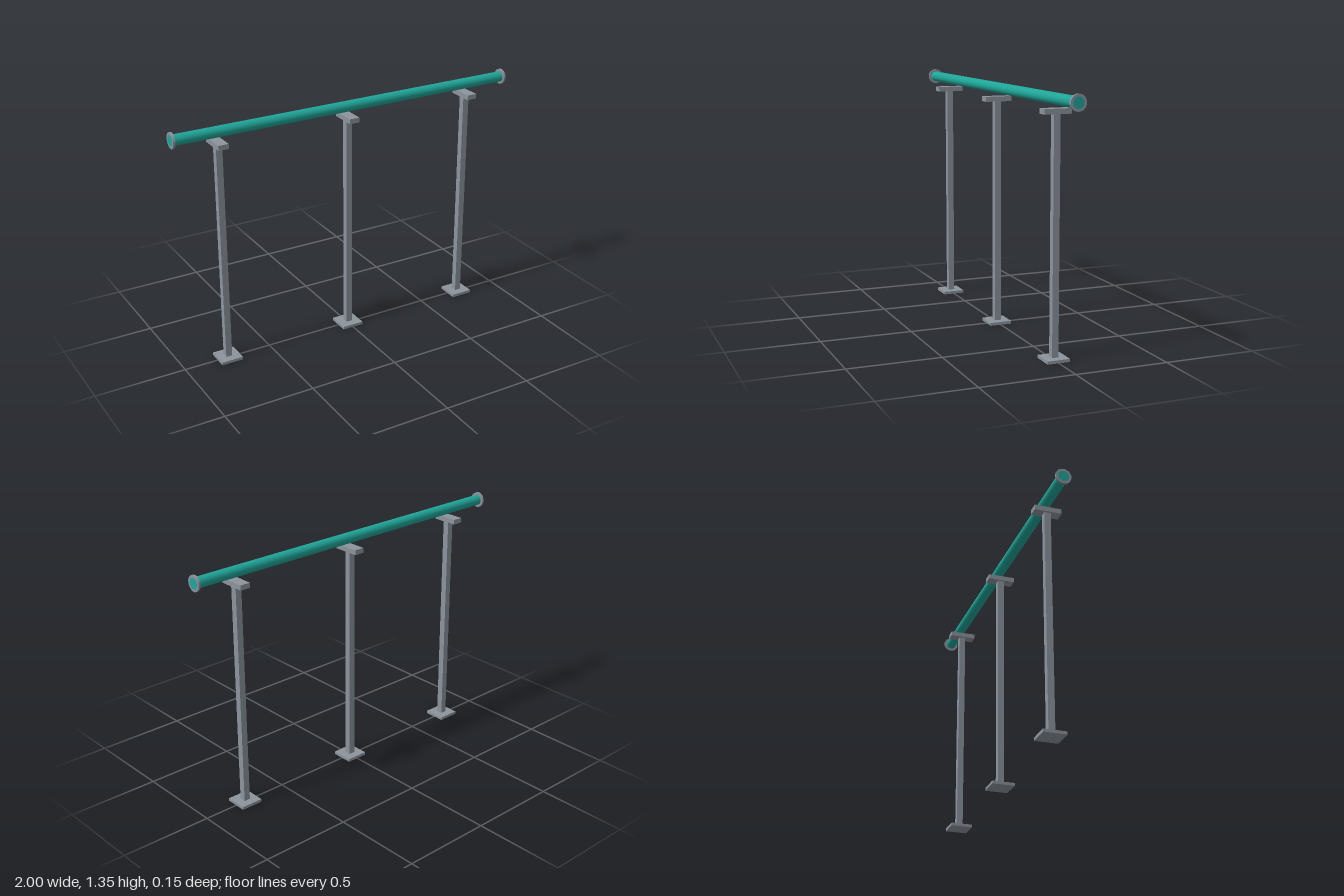
import * as THREE from 'three';

export function createModel() {
  const model = new THREE.Group();
  model.name = 'pipeOnSupports';

  const steel = new THREE.MeshStandardMaterial({ color: 0x8c949d });
  steel.name = 'steel grey';
  const teal = new THREE.MeshStandardMaterial({ color: 0x1fa598 });
  teal.name = 'pipe teal';

  const PIPE_Y = 1.303;

  function box(parent, name, w, yBottom, yTop, d) {
    const mesh = new THREE.Mesh(new THREE.BoxGeometry(w, yTop - yBottom, d), steel);
    mesh.position.y = (yBottom + yTop) / 2;
    mesh.name = name;
    parent.add(mesh);
  }

  // Cylinder lying along x
  function rod(name, radius, length, x, material) {
    const geometry = new THREE.CylinderGeometry(radius, radius, length, 32);
    geometry.rotateZ(Math.PI / 2);
    const mesh = new THREE.Mesh(geometry, material);
    mesh.position.set(x, PIPE_Y, 0);
    mesh.name = name;
    model.add(mesh);
  }

  // Three identical supports: base plate, post and cross bar
  for (const [name, x] of [['rightSupport', -0.75], ['middleSupport', 0], ['leftSupport', 0.75]]) {
    const support = new THREE.Group();
    support.name = name;
    support.position.x = x;
    box(support, 'basePlate', 0.122, 0, 0.016, 0.122);
    box(support, 'post', 0.035, 0.016, 1.23, 0.035);
    box(support, 'crossBar', 0.057, 1.23, 1.257, 0.146);
    model.add(support);
  }

  // Pipe, with its ends just showing through the flanges
  rod('pipe', 0.029, 2, 0, teal);
  for (const side of [-1, 1]) {
    rod(side < 0 ? 'rightFlange' : 'leftFlange', 0.042, 0.012, side * 0.9932, steel);
  }

  return model;
}
